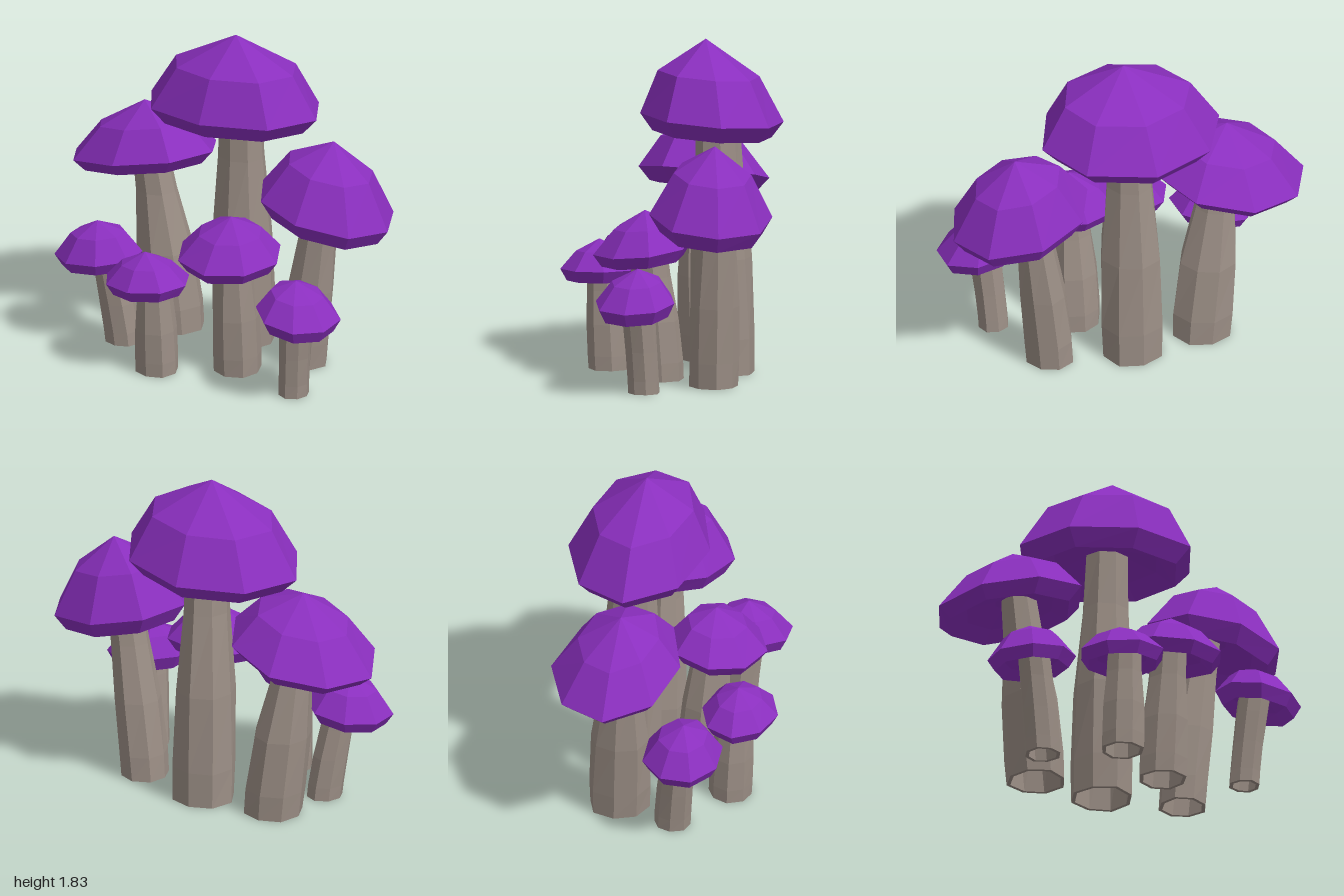
import * as THREE from 'three';

const SIDES = 8;
const { lerp } = THREE.MathUtils;

// Faceted skin over a stack of rings, listed from the top down the outside.
// ring: { x, y, z, rx, rz, sx, sz }, where sx and sz slope the ring in x and z
function loft(rings, seed, wobble, turn = 0) {
  const pos = [], index = [];
  rings.forEach((r) => {
    for (let j = 0; j < SIDES; j++) {
      const a = ((j + turn) / SIDES) * Math.PI * 2;
      const k = 1 + wobble * Math.sin(seed * 7.3 + j * 2.4 + r.y * 3);
      const dx = Math.sin(a) * r.rx * k, dz = Math.cos(a) * r.rz * k;
      pos.push(r.x + dx, r.y + (r.sx || 0) * dx + (r.sz || 0) * dz, r.z + dz);
    }
  });
  for (let i = 0; i < rings.length - 1; i++) {
    for (let j = 0; j < SIDES; j++) {
      const n = (j + 1) % SIDES;
      const a = i * SIDES + j, b = i * SIDES + n;
      const c = a + SIDES, d = b + SIDES;
      if (rings[i].rx > 0) index.push(a, c, b);
      if (rings[i + 1].rx > 0) index.push(b, c, d);
    }
  }
  const g = new THREE.BufferGeometry();
  g.setAttribute('position', new THREE.Float32BufferAttribute(pos, 3));
  g.setIndex(index);
  const flat = g.toNonIndexed();
  flat.computeVertexNormals();
  return flat;
}

// Cap: pointed dome, wide rim, lip turned under, hollow underside
function capGeometry(m, seed) {
  const [cx, cy, cz] = m.rim, [rx, rz] = m.size, [sx, sz] = m.slope;
  const [ax, ay, az] = m.apex;
  const [shoulderSize, shoulderHeight] = m.shoulder;
  const ring = (k, dy, shift = 0) => ({
    x: lerp(cx, ax, shift), y: cy + dy, z: lerp(cz, az, shift),
    rx: rx * k, rz: rz * k, sx, sz,
  });
  return loft([
    { x: ax, y: ay, z: az, rx: 0, rz: 0 },
    ring(shoulderSize, (ay - cy) * shoulderHeight, 0.5),
    ring(1, 0),
    ring(0.83, -m.lip),
    ring(0.6, -m.lip * 0.3),
    ring(0.2, m.lip * 0.4),
    ring(0, m.lip * 0.4),
  ], seed, 0.018, m.turn);
}

// Stem: leaning faceted tube with a thin wall, stout below, open at the foot
function stemGeometry(m, seed) {
  const [tx, ty, tz, tr] = m.top, [bx, bz, br] = m.base;
  const ring = (t, taper, inset = 0) => {
    const lean = Math.pow(t, 1.25);
    const r = lerp(br, tr, taper) - inset;
    return { x: lerp(bx, tx, lean), y: lerp(0.013, ty, t), z: lerp(bz, tz, lean), rx: r, rz: r };
  };
  return loft([
    ring(1, 1), ring(0.78, 0.8), ring(0.45, 0.15), ring(0.14, 0), ring(0, 0.08),
    ring(0, 0.08, 0.02), ring(0.45, 0.15, 0.02), ring(1, 1, 0.02),
  ], seed, 0.035);
}

const MUSHROOMS = [
  { name: 'tallMushroom', apex: [0.025, 1.84, -0.17], rim: [0, 1.405, -0.2], size: [0.515, 0.39],
    slope: [0.05, 0.08], shoulder: [0.71, 0.56], lip: 0.09,
    top: [0.02, 1.42, -0.23, 0.118], base: [0.015, -0.27, 0.175] },
  { name: 'backRightMushroom', apex: [-0.565, 1.315, -0.2], rim: [-0.575, 1.005, -0.22], size: [0.425, 0.355],
    slope: [0.2, 0.11], shoulder: [0.63, 0.58], lip: 0.07,
    top: [-0.53, 1.03, -0.2, 0.1], base: [-0.4, -0.24, 0.168] },
  { name: 'backLeftMushroom', apex: [0.65, 1.36, -0.15], rim: [0.615, 0.975, -0.13], size: [0.39, 0.335],
    slope: [-0.17, 0.04], shoulder: [0.63, 0.6], lip: 0.095,
    top: [0.57, 1.0, -0.17, 0.1], base: [0.45, -0.165, 0.135] },
  { name: 'outerRightMushroom', apex: [-0.65, 0.72, 0.16], rim: [-0.64, 0.53, 0.155], size: [0.245, 0.22],
    slope: [0.12, 0], shoulder: [0.62, 0.64], lip: 0.065, turn: 0.5,
    top: [-0.61, 0.54, 0.13, 0.09], base: [-0.53, 0.08, 0.1] },
  { name: 'frontMushroom', apex: [-0.22, 0.715, 0.38], rim: [-0.205, 0.555, 0.385], size: [0.245, 0.208],
    slope: [0.07, 0], shoulder: [0.6, 0.6], lip: 0.065,
    top: [-0.18, 0.57, 0.36, 0.095], base: [-0.175, 0.33, 0.12] },
  { name: 'middleMushroom', apex: [0.2, 0.94, 0.18], rim: [0.195, 0.73, 0.19], size: [0.295, 0.267],
    slope: [0, -0.12], shoulder: [0.61, 0.59], lip: 0.07,
    top: [0.2, 0.74, 0.16, 0.1], base: [0.19, 0.1, 0.135] },
  { name: 'outerLeftMushroom', apex: [0.66, 0.7, 0.27], rim: [0.68, 0.52, 0.285], size: [0.235, 0.22],
    slope: [-0.13, -0.08], shoulder: [0.62, 0.62], lip: 0.075, turn: 0.5,
    top: [0.66, 0.53, 0.27, 0.09], base: [0.62, 0.23, 0.085] },
];

export function createModel() {
  const capPurple = new THREE.MeshStandardMaterial({ name: 'capPurple', color: 0x8a2fbe });
  const stemGrey = new THREE.MeshStandardMaterial({ name: 'stemGrey', color: 0x9c8f86 });

  const model = new THREE.Group();
  model.name = 'mushroomCluster';
  MUSHROOMS.forEach((m, i) => {
    const mushroom = new THREE.Group();
    mushroom.name = m.name;
    const cap = new THREE.Mesh(capGeometry(m, i + 1), capPurple);
    cap.name = 'cap';
    const stem = new THREE.Mesh(stemGeometry(m, i + 1), stemGrey);
    stem.name = 'stem';
    mushroom.add(cap, stem);
    model.add(mushroom);
  });
  return model;
}
